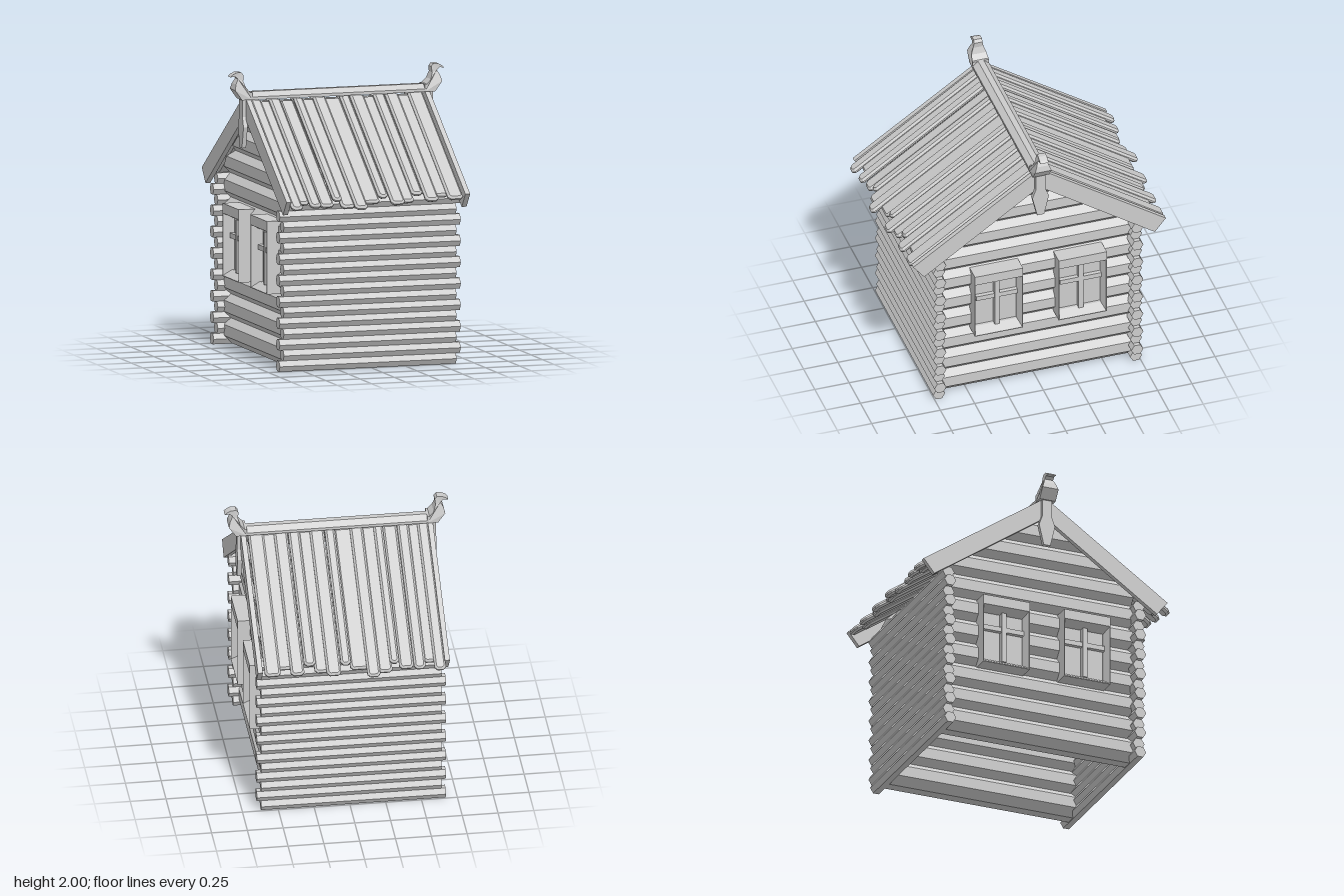
import * as THREE from 'three';

const mat = new THREE.MeshStandardMaterial({ color: 0xcccccc, flatShading: true });
const SLOPE = 0.69, ANGLE = Math.atan(SLOPE);

function add(parent, geometry, name) {
  const mesh = new THREE.Mesh(geometry, mat);
  mesh.name = name;
  parent.add(mesh);
  return mesh;
}

const polygon = pts => new THREE.Shape(pts.map(p => new THREE.Vector2(...p)));

// Symmetric outline, given as its right half (z, y), extruded along x
function panel(half, x0, depth) {
  const pts = [...half, ...half.filter(p => p[0] > 0).reverse().map(([z, y]) => [-z, y])];
  return new THREE.ExtrudeGeometry(polygon(pts), { depth, bevelEnabled: false })
    .rotateY(Math.PI / 2).translate(x0, 0, 0);
}

// Eight-sided gable log, its ends trimmed to the roof slope
function gableLog(y) {
  const g = new THREE.CylinderGeometry(0.102, 0.102, 2, 8, 1, false, Math.PI / 8)
    .rotateX(Math.PI / 2).translate(0.49, y, 0);
  const p = g.attributes.position;
  for (let i = 0; i < p.count; i++) {
    const reach = Math.max(0, Math.min(0.7, (1.765 - p.getY(i)) / SLOPE));
    p.setZ(i, Math.sign(p.getZ(i)) * reach);
  }
  return g;
}

// Window casing lofted through rectangles: [x, half width, bottom, top]
function casing() {
  const rings = [
    [0.5, 0.175, 0.51, 1.02], [0.67, 0.175, 0.51, 1.02],
    [0.67, 0.17, 0.515, 0.95], [0.61, 0.15, 0.555, 0.92], [0.59, 0.15, 0.555, 0.92],
  ];
  const pos = [], idx = [];
  for (const [x, w, y0, y1] of rings) pos.push(x, y0, w, x, y0, -w, x, y1, -w, x, y1, w);
  for (let k = 0; k < rings.length - 1; k++)
    for (let j = 0; j < 4; j++) {
      const a = k * 4 + j, b = k * 4 + (j + 1) % 4;
      idx.push(a, b, b + 4, a, b + 4, a + 4);
    }
  const n = (rings.length - 1) * 4;
  idx.push(n, n + 1, n + 2, n, n + 2, n + 3, 0, 2, 1, 0, 3, 2);
  const g = new THREE.BufferGeometry();
  g.setAttribute('position', new THREE.Float32BufferAttribute(pos, 3));
  g.setIndex(idx);
  g.computeVertexNormals();
  return g;
}

function makeWindow(z) {
  const win = new THREE.Group();
  win.name = 'window';
  add(win, casing(), 'windowCasing');
  add(win, new THREE.BoxGeometry(0.04, 0.37, 0.035), 'verticalBar').position.set(0.61, 0.737, 0);
  add(win, new THREE.BoxGeometry(0.03, 0.035, 0.3), 'crossBar').position.set(0.61, 0.797, 0);
  win.position.z = z;
  return win;
}

// Carved bird on the ridge end, wide at the breast and narrow at the head
function ridgeBird() {
  const outline = polygon([
    [0.63, 1.81], [0.705, 1.81], [0.755, 1.88], [0.745, 1.92], [0.725, 1.955], [0.745, 1.972],
    [0.78, 1.97], [0.765, 1.985], [0.735, 2], [0.70, 2], [0.685, 1.98], [0.69, 1.94],
    [0.675, 1.895], [0.645, 1.862], [0.63, 1.862],
  ]);
  const g = new THREE.ExtrudeGeometry(outline, { depth: 2, bevelEnabled: false }).translate(0, 0, -1);
  const p = g.attributes.position;
  for (let i = 0; i < p.count; i++) {
    const t = THREE.MathUtils.clamp((p.getY(i) - 1.88) / 0.08, 0, 1);
    p.setZ(i, p.getZ(i) * (0.06 - 0.03 * t));
  }
  g.computeVertexNormals();
  return g;
}

// Everything on one gable end
function makeEnd() {
  const end = new THREE.Group();
  end.name = 'gableEnd';
  for (let i = 0; i < 10; i++) add(end, gableLog(0.1 + i * 0.169), 'gableLog');
  end.add(makeWindow(0.295), makeWindow(-0.315));
  add(end, panel([[0, 1.84], [0.92, 1.21], [0.84, 1.11], [0, 1.69]], 0.635, 0.035), 'bargeBoard');
  add(end, panel([[0.035, 1.82], [0.035, 1.69], [0.06, 1.62], [0.025, 1.47]], 0.665, 0.03), 'pendant');
  add(end, ridgeBird(), 'ridgeBird');
  return end;
}

// Roof board with bevelled edges and clipped lower corners
function plank(width, length) {
  const w = width / 2, c = 0.02;
  const outline = polygon([[-w, 0], [-w, -length + c], [-w + c, -length], [w - c, -length], [w, -length + c], [w, 0]]);
  return new THREE.ExtrudeGeometry(outline, {
    depth: 0.012, bevelThickness: 0.014, bevelSize: 0.014, bevelOffset: -0.014, bevelSegments: 1,
  });
}

// x start, x end, reach in z
const PLANKS = [
  [-0.64, -0.56, 0.93], [-0.58, -0.49, 0.87], [-0.50, -0.42, 0.915], [-0.42, -0.32, 0.9],
  [-0.32, -0.255, 0.87], [-0.27, -0.17, 0.915], [-0.18, -0.09, 0.945], [-0.11, 0.02, 0.885],
  [0.015, 0.085, 0.86], [0.09, 0.19, 0.92], [0.17, 0.27, 0.89], [0.26, 0.34, 0.85],
  [0.345, 0.44, 0.905], [0.42, 0.53, 0.855], [0.51, 0.62, 0.9],
];
const RAISED = [1, 0, 1, 0, 1, 0, 1, 0, 1, 1, 0, 1, 1, 0, 1];

function makeSlope(side) {
  const slope = new THREE.Group();
  slope.name = side > 0 ? 'frontRoof' : 'backRoof';
  const boards = new THREE.Group();
  boards.name = 'roofBoards';
  boards.rotation.x = ANGLE - Math.PI / 2;
  boards.position.y = 1.765;
  PLANKS.forEach(([a, b, z], i) => {
    add(boards, plank(b - a, z / Math.cos(ANGLE)), 'roofBoard')
      .position.set(side * (a + b) / 2, 0, RAISED[i] ? 0.034 : 0.014);
  });
  slope.add(boards);
  if (side < 0) slope.rotation.y = Math.PI;
  return slope;
}

export function createModel() {
  const house = new THREE.Group();
  house.name = 'logHouse';

  // Hexagonal logs of the front and back walls, staggered at the corners
  for (const side of [1, -1])
    for (let i = 0; i < 16; i++) {
      const log = add(house, new THREE.CylinderGeometry(0.0435, 0.0435, 1.29, 6).rotateZ(Math.PI / 2), 'wallLog');
      log.position.set(i % 2 ? 0.01 : -0.02, 0.04 + i * 0.0747, side * 0.717);
    }

  // Gable ends
  const right = makeEnd(), left = makeEnd();
  left.rotation.y = Math.PI;
  house.add(right, left);

  // Roof and ridge beam
  house.add(makeSlope(1), makeSlope(-1));
  add(house, panel([[0.06, 1.81], [0.06, 1.83], [0.02, 1.862]], -0.64, 1.28), 'ridgeBeam');

  house.position.x = -0.005;
  const model = new THREE.Group();
  model.name = 'model';
  model.add(house);
  return model;
}
